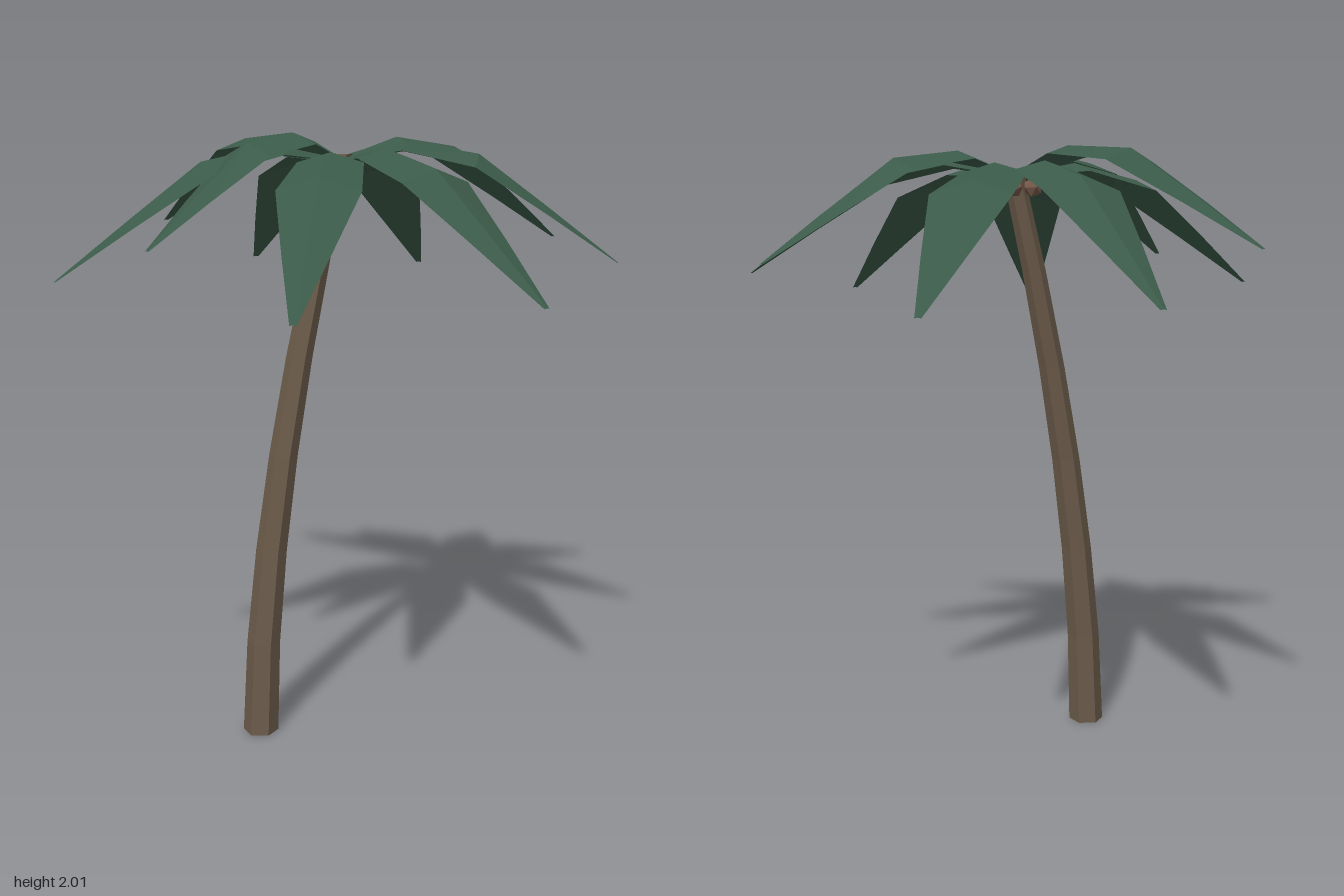
import * as THREE from 'three';

const leafGreen = new THREE.MeshStandardMaterial({ color: 0x3b5a49, flatShading: true, side: THREE.DoubleSide });
leafGreen.name = 'leafGreen';
const barkBrown = new THREE.MeshStandardMaterial({ color: 0x6b5b4a, flatShading: true });
barkBrown.name = 'barkBrown';
const nutBrown = new THREE.MeshStandardMaterial({ color: 0x76594a, flatShading: true });
nutBrown.name = 'nutBrown';

const CROWN_X = 0.02;

// Six-sided tapering trunk, bent sideways along a power curve
function makeTrunk() {
  const height = 1.94;
  const geo = new THREE.CylinderGeometry(0.035, 0.06, height, 6, 6);
  geo.translate(0, height / 2, 0);
  const p = geo.attributes.position;
  for (let i = 0; i < p.count; i++) {
    const t = Math.max(0, p.getY(i) / height);
    p.setX(i, p.getX(i) - 0.29 + 0.315 * Math.pow(t, 1.7));
  }
  geo.computeVertexNormals();
  const trunk = new THREE.Mesh(geo, barkBrown);
  trunk.name = 'trunk';
  return trunk;
}

// Cross-sections of a frond: fraction of length, ridge height, half width, edge drop
const SECTIONS = [
  [0.01, 1.93, 0.03, 0.01],
  [0.24, 1.995, 0.105, 0.03],
  [0.5, 1.965, 0.13, 0.04],
  [0.75, 1.81, 0.072, 0.02],
  [1, 1.65, 0.01, 0.002],
];

// Folded leaf blade running from the crown to its tip
function makeFrond(tipX, tipY, tipZ) {
  const dx = tipX - CROWN_X;
  const length = Math.hypot(dx, tipZ);
  const sag = 1.65 - tipY;
  const sideX = -tipZ / length, sideZ = dx / length;
  const width = Math.min(1, length / 0.78);
  const pos = [], index = [];
  SECTIONS.forEach(([u, ridge, half, drop], row) => {
    const y = ridge - sag * Math.pow(u, 0.8);
    for (const s of [-1, 0, 1]) {
      const w = s * half * width;
      pos.push(CROWN_X + dx * u + sideX * w, y - Math.abs(s) * drop, tipZ * u + sideZ * w);
    }
    if (row === 0) return;
    for (let k = 0; k < 2; k++) {
      const a = (row - 1) * 3 + k, b = a + 3;
      index.push(a, a + 1, b, a + 1, b + 1, b);
    }
  });
  const geo = new THREE.BufferGeometry();
  geo.setAttribute('position', new THREE.Float32BufferAttribute(pos, 3));
  geo.setIndex(index);
  geo.computeVertexNormals();
  const frond = new THREE.Mesh(geo, leafGreen);
  frond.name = 'frond';
  return frond;
}

export function createModel() {
  const tree = new THREE.Group();
  tree.name = 'palmTree';
  tree.add(makeTrunk());

  // Crown of fronds, given by their tips
  const crown = new THREE.Group();
  crown.name = 'crown';
  const tips = [
    [0.89, 1.65, 0.01], [0.71, 1.61, 0.56], [0.165, 1.54, 0.9],
    [-0.46, 1.5, 0.61], [-0.69, 1.67, 0.125], [-0.9, 1.57, -0.11],
    [-0.25, 1.695, -0.87], [0.135, 1.54, -0.9], [0.69, 1.52, -0.57],
  ];
  for (const tip of tips) crown.add(makeFrond(...tip));
  tree.add(crown);

  // Nuts clustered under the crown
  for (const degrees of [45, 225, 315]) {
    const a = THREE.MathUtils.degToRad(degrees);
    const nut = new THREE.Mesh(new THREE.IcosahedronGeometry(0.033, 0), nutBrown);
    nut.name = 'nut';
    nut.position.set(0.01 + 0.052 * Math.cos(a), 1.885, 0.052 * Math.sin(a));
    nut.rotation.y = a;
    tree.add(nut);
  }
  return tree;
}
